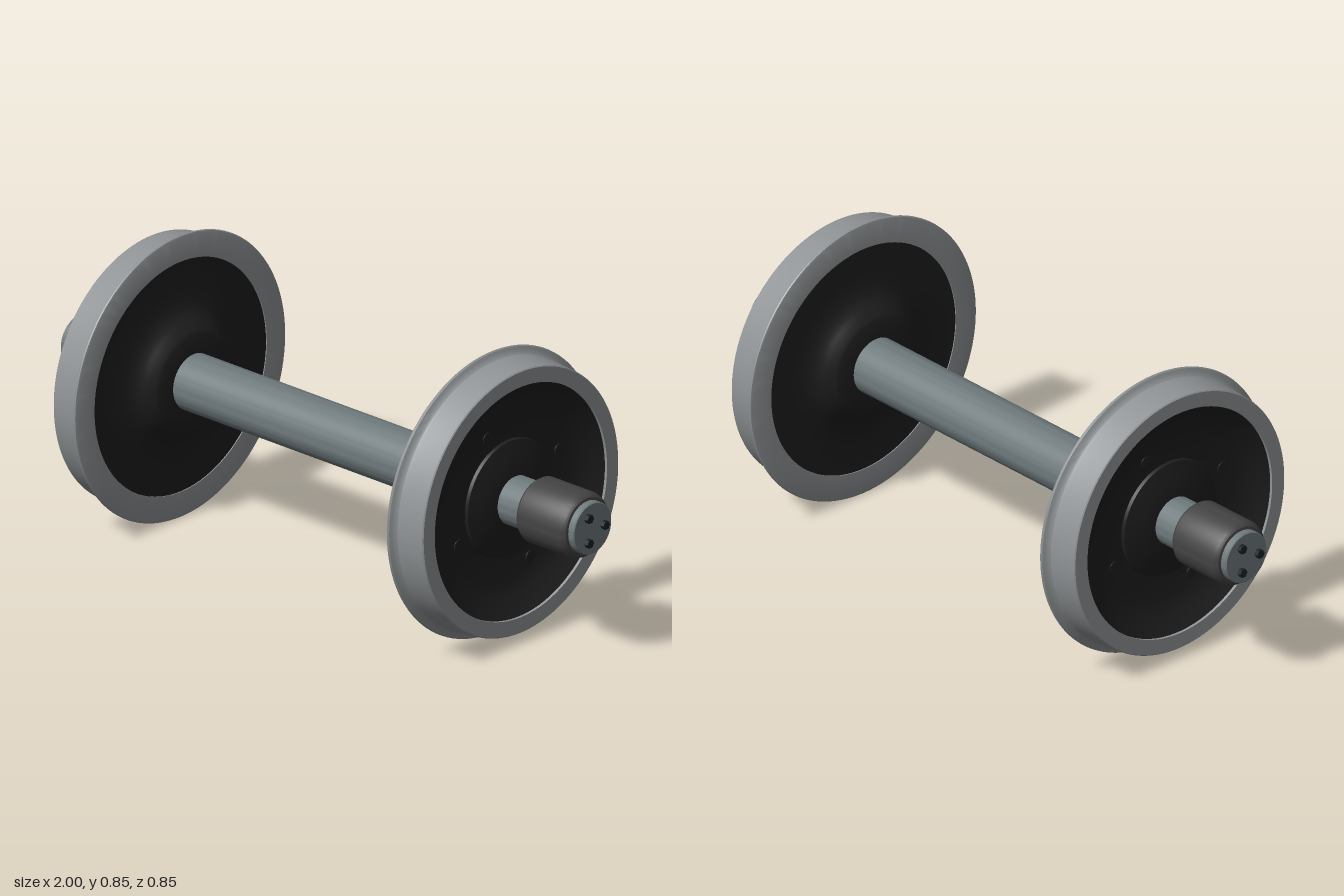
import * as THREE from 'three';
import { toCreasedNormals } from 'three/addons/utils/BufferGeometryUtils.js';

const mat = (name, color) => {
  const m = new THREE.MeshStandardMaterial({ color });
  m.name = name;
  return m;
};

// Revolve [x along axle, radius] points around the x axis
function turned(name, points, material, segments = 96) {
  const profile = points.map(([x, r]) => new THREE.Vector2(r, x));
  const geo = new THREE.LatheGeometry(profile, segments).rotateZ(-Math.PI / 2);
  const mesh = new THREE.Mesh(toCreasedNormals(geo, 0.5), material);
  mesh.name = name;
  return mesh;
}

// Short prism lying along x, centred at [x, y, z]
function stud(name, radius, length, sides, pos, material) {
  const geo = new THREE.CylinderGeometry(radius, radius, length, sides).rotateZ(-Math.PI / 2);
  const mesh = new THREE.Mesh(toCreasedNormals(geo, 0.5), material);
  mesh.name = name;
  mesh.position.set(...pos);
  return mesh;
}

export function createModel() {
  const axleSteel = mat('axle steel', 0x6f7a7d);
  const wheelSteel = mat('wheel steel', 0x909496);
  const webBlack = mat('web black', 0x1e1e1e);
  const bearingGrey = mat('bearing grey', 0x444444);
  const boltBlack = mat('bolt black', 0x1c2022);

  const model = new THREE.Group();
  model.name = 'wheelset';

  // One end of the axle: wheel, journal, bearing and cap
  function makeEnd(name) {
    const end = new THREE.Group();
    end.name = name;

    // Rim with flange on the inner side and a slightly conical tread
    end.add(turned('rim', [
      [0.597, 0.347], [0.597, 0.417], [0.599, 0.423], [0.603, 0.425], [0.607, 0.422],
      [0.610, 0.415], [0.614, 0.407], [0.620, 0.402], [0.632, 0.400], [0.708, 0.395],
      [0.711, 0.392], [0.711, 0.347], [0.597, 0.347],
    ], wheelSteel, 128));

    // Dished web with hub
    end.add(turned('web', [
      [0.547, 0.075], [0.547, 0.140], [0.552, 0.150], [0.572, 0.172], [0.585, 0.186],
      [0.593, 0.203], [0.598, 0.230], [0.600, 0.270], [0.600, 0.348], [0.703, 0.348],
      [0.690, 0.325], [0.672, 0.290], [0.664, 0.250], [0.662, 0.175],
      [0.672, 0.173], [0.682, 0.130], [0.688, 0.100], [0.690, 0.070],
    ], webBlack));

    // Four round plugs in the web
    for (let i = 0; i < 4; i++) {
      const a = 0.40 + i * Math.PI / 2;
      const pos = [0.661, 0.22 * Math.cos(a - 0.007), 0.22 * Math.sin(a)];
      end.add(stud('webPlug', 0.018, 0.012, 24, pos, webBlack));
    }

    // Journal and bearing
    end.add(turned('journal', [[0.64, 0.072], [0.80, 0.072]], axleSteel, 64));
    end.add(turned('bearing', [
      [0.778, 0.070], [0.778, 0.084], [0.782, 0.092], [0.790, 0.097], [0.945, 0.097],
      [0.957, 0.093], [0.965, 0.085], [0.967, 0.070],
    ], bearingGrey, 64));

    // End cap with three hexagonal bolts
    end.add(turned('endCap', [
      [0.96, 0.077], [0.984, 0.077], [0.987, 0.074], [0.987, 0],
    ], axleSteel, 64));
    for (let i = 0; i < 3; i++) {
      const a = i * Math.PI * 2 / 3;
      const pos = [0.992, 0.043 * Math.sin(a), -0.043 * Math.cos(a)];
      end.add(stud('capBolt', 0.0135, 0.016, 6, pos, boltBlack));
    }
    return end;
  }

  // Axle shaft between the wheels
  model.add(turned('axle', [[-0.58, 0.083], [0.58, 0.083]], axleSteel, 64));

  const left = makeEnd('leftEnd');
  const right = makeEnd('rightEnd');
  right.rotation.y = Math.PI;
  model.add(left, right);

  // Raise so the flanges touch the ground
  for (const part of model.children) part.position.y = 0.425;
  return model;
}
